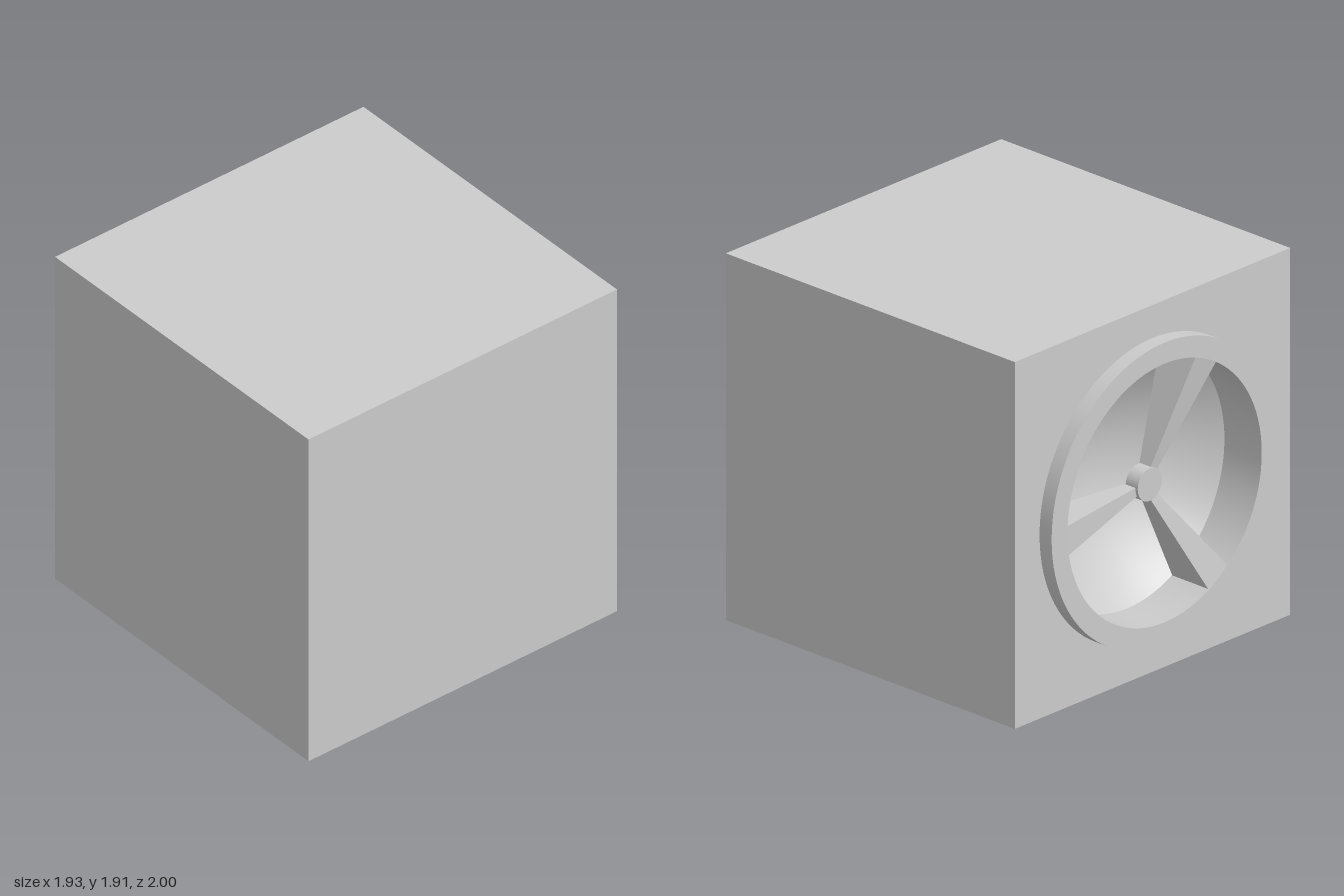
import * as THREE from 'three';

const CY = 0.957;       // height of the fan axis
const HALF = 0.957;     // half the cabinet side
const BACK = -0.957;    // cabinet back plane, local z

export function createModel() {
  const material = new THREE.MeshStandardMaterial({ color: 0xcccccc, side: THREE.DoubleSide });
  const model = new THREE.Group();
  model.rotation.y = -0.006;
  model.position.set(-0.002, CY, 0.037);

  const add = (name, geometry, parent) => {
    const mesh = new THREE.Mesh(geometry, material);
    mesh.name = name;
    parent.add(mesh);
    return mesh;
  };

  // Cabinet: a cube without its back, closed by a panel with a round opening
  const cabinet = new THREE.Group();
  cabinet.name = 'cabinet';
  model.add(cabinet);
  const shell = new THREE.BoxGeometry(2 * HALF, 2 * HALF, 2 * HALF);
  shell.setIndex(Array.from(shell.index.array).slice(0, 30));
  add('cabinetShell', shell, cabinet);

  const panel = new THREE.Shape([[-1, -1], [1, -1], [1, 1], [-1, 1]]
    .map(([x, y]) => new THREE.Vector2(x * HALF, y * HALF)));
  panel.holes.push(new THREE.Path().absarc(0, 0, 0.73, 0, Math.PI * 2, true));
  add('backPanel', new THREE.ShapeGeometry(panel, 48).rotateY(Math.PI).translate(0, 0, BACK), cabinet);

  // Fan housing, turned about z; profiles give radius and distance behind the centre
  const housing = new THREE.Group();
  housing.name = 'housing';
  model.add(housing);
  const turned = (name, points) => add(name,
    new THREE.LatheGeometry(points.map(([r, d]) => new THREE.Vector2(r, d)), 96).rotateX(-Math.PI / 2), housing);
  turned('ringSide', [[0.785, 0.95], [0.785, 1.037]]);
  turned('ringFace', [[0.785, 1.037], [0.675, 1.037]]);
  turned('innerWall', [[0.675, 1.037], [0.675, 0.79]]);

  // Hollow dish at the bottom of the opening
  const dish = [];
  for (let i = 0; i <= 14; i++) {
    const r = 0.675 * (1 - i / 14);
    dish.push([r, 0.79 - 0.3 * (1 - (r / 0.675) ** 2)]);
  }
  turned('dish', dish);

  // Three spokes that widen and deepen towards the ring
  const spokes = new THREE.Group();
  spokes.name = 'spokes';
  model.add(spokes);
  for (let i = 0; i < 3; i++) {
    const g = new THREE.BoxGeometry(1, 1, 1);
    const p = g.attributes.position;
    for (let k = 0; k < p.count; k++) {
      const rim = p.getX(k) > 0;
      const back = p.getZ(k) < 0;
      const width = rim ? 0.16 : 0.04;
      const z = rim ? (back ? -1.033 : -0.79) : (back ? -0.915 : -0.86);
      p.setXYZ(k, rim ? 0.69 : 0.03, Math.sign(p.getY(k)) * width / 2, z);
    }
    g.computeVertexNormals();
    g.rotateZ((i * 120 - 4) * Math.PI / 180);
    add('spoke', g, spokes);
  }

  // Hub where the spokes meet
  add('hub', new THREE.CylinderGeometry(0.085, 0.085, 0.08, 40)
    .rotateX(Math.PI / 2).translate(0, 0.015, -0.9), model);

  const root = new THREE.Group();
  root.name = 'fanCabinet';
  root.add(model);
  return root;
}
